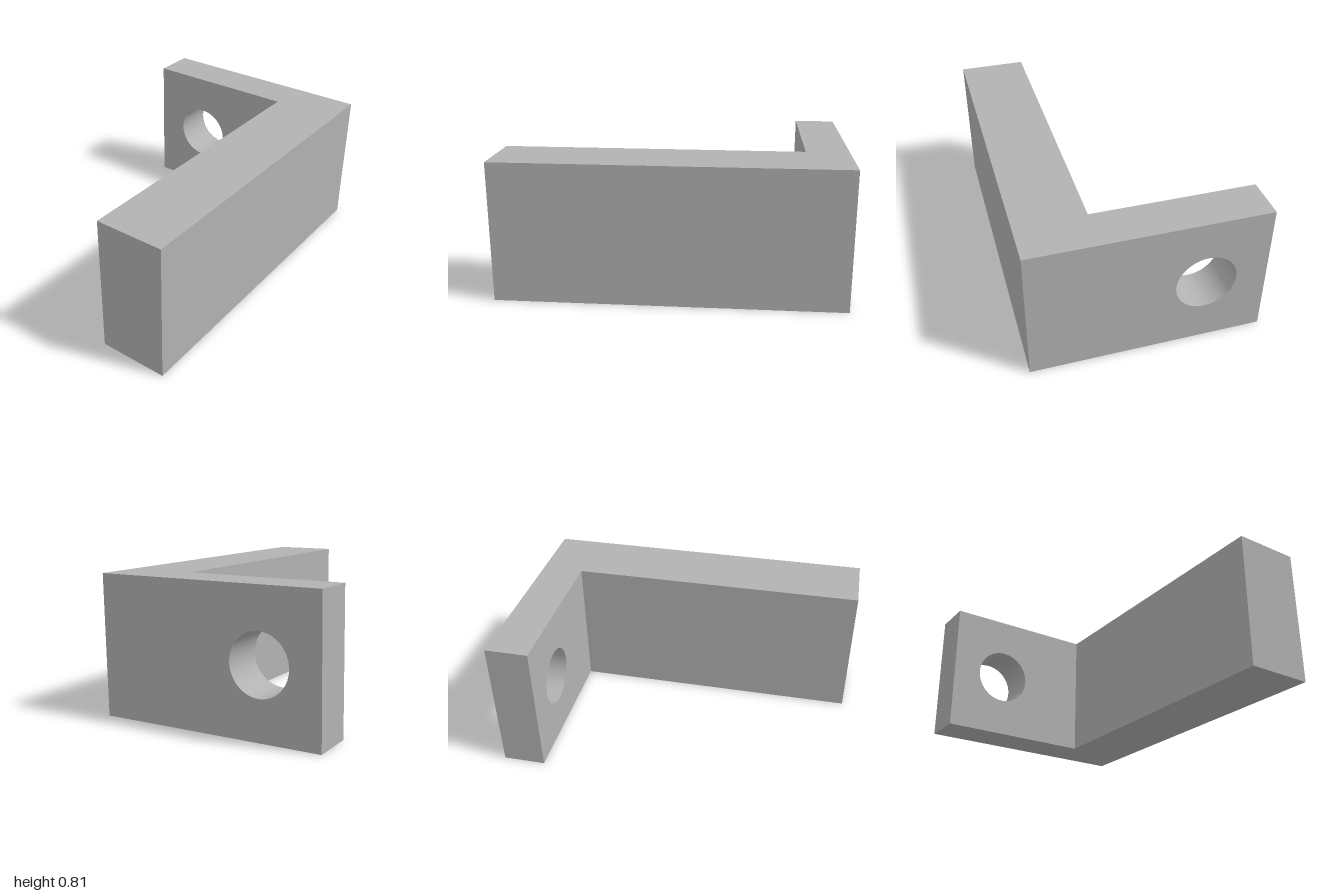
import * as THREE from 'three';
import { toCreasedNormals } from 'three/addons/utils/BufferGeometryUtils.js';

const HEIGHT = 0.81, HALF_DEPTH = 0.67;
const PLATE_X = 0.75; // inner face of the drilled plate
const ARM_Z = 0.27; // back face of the long arm

export function createModel() {
  const group = new THREE.Group();
  group.name = 'angleBracket';
  const grey = new THREE.MeshStandardMaterial({ color: 0xb2b2b2 });
  grey.name = 'grey';

  // Long arm across the front
  const length = PLATE_X + 1, thickness = HALF_DEPTH - ARM_Z;
  const arm = new THREE.Mesh(new THREE.BoxGeometry(length, HEIGHT, thickness), grey);
  arm.name = 'longArm';
  arm.position.set(-1 + length / 2, HEIGHT / 2, ARM_Z + thickness / 2);
  group.add(arm);

  // Side plate: profile drawn in (-z, y), with a round through hole
  const profile = new THREE.Shape([
    new THREE.Vector2(-HALF_DEPTH, 0),
    new THREE.Vector2(HALF_DEPTH, 0),
    new THREE.Vector2(HALF_DEPTH, HEIGHT),
    new THREE.Vector2(-HALF_DEPTH, HEIGHT),
  ]);
  const hole = new THREE.Path();
  hole.absarc(0.318, HEIGHT / 2, 0.173, 0, Math.PI * 2, true);
  profile.holes.push(hole);

  const plateGeometry = new THREE.ExtrudeGeometry(profile, {
    depth: 1 - PLATE_X, bevelEnabled: false, curveSegments: 64,
  });
  plateGeometry.rotateY(Math.PI / 2); // extrude along +x
  const plate = new THREE.Mesh(toCreasedNormals(plateGeometry, Math.PI / 6), grey);
  plate.name = 'drilledSidePlate';
  plate.position.x = PLATE_X;
  group.add(plate);

  return group;
}
